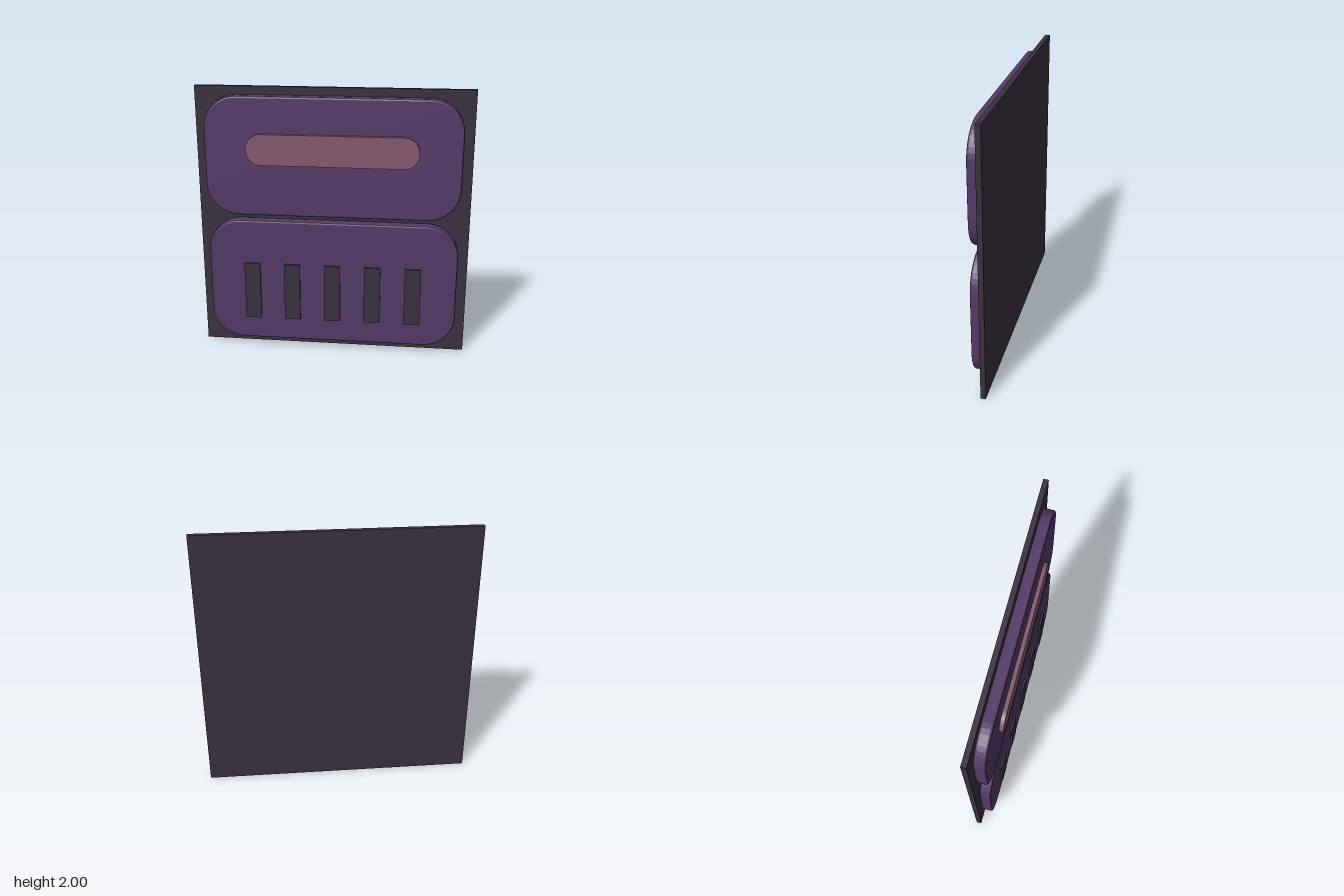
import * as THREE from 'three';

const mat = (name, color) => {
  const m = new THREE.MeshStandardMaterial({ color });
  m.name = name;
  return m;
};

// Rounded rectangle outline centred on the origin
function roundedRect(w, h, r) {
  const x = w / 2 - r, y = h / 2 - r;
  const s = new THREE.Shape();
  s.absarc(x, y, r, 0, Math.PI / 2);
  s.absarc(-x, y, r, Math.PI / 2, Math.PI);
  s.absarc(-x, -y, r, Math.PI, Math.PI * 1.5);
  s.absarc(x, -y, r, Math.PI * 1.5, Math.PI * 2);
  s.closePath();
  return s;
}

// Rounded slab between two depths, with an optional bevel inside its outer size
function slab(w, h, r, z0, z1, bevel, curveSegments) {
  const g = new THREE.ExtrudeGeometry(roundedRect(w - 2 * bevel, h - 2 * bevel, r - bevel), {
    depth: z1 - z0 - 2 * bevel,
    bevelEnabled: bevel > 0,
    bevelThickness: bevel,
    bevelSize: bevel,
    bevelSegments: 2,
    curveSegments,
  });
  return g.translate(0, 0, z0 + bevel);
}

export function createModel() {
  const group = new THREE.Group();
  const dark = mat('dark plum', 0x3a303f);
  const purple = mat('purple', 0x553968);
  const rose = mat('dusty rose', 0x85596f);

  const add = (name, geometry, material, x, y, z = 0) => {
    const mesh = new THREE.Mesh(geometry, material);
    mesh.name = name;
    mesh.position.set(x, y, z);
    group.add(mesh);
  };

  // Square backing board
  add('backBoard', new THREE.BoxGeometry(2, 2, 0.037), dark, 0, 1, -0.0565);

  // Two bevelled panels
  add('upperPanel', slab(1.85, 0.88, 0.235, -0.038, 0.045, 0.014, 5), purple, 0, 1.503);
  add('lowerPanel', slab(1.85, 0.96, 0.235, -0.038, 0.045, 0.014, 5), purple, 0, 0.543);

  // Raised bar on the upper panel
  add('bar', slab(1.24, 0.226, 0.11, 0.04, 0.074, 0, 8), rose, 0, 1.564);

  // Row of upright slats on the lower panel
  const slat = new THREE.BoxGeometry(0.12, 0.445, 0.02);
  for (let i = -2; i <= 2; i++) add('slat' + (i + 3), slat, dark, i * 0.301, 0.463, 0.05);

  return group;
}
